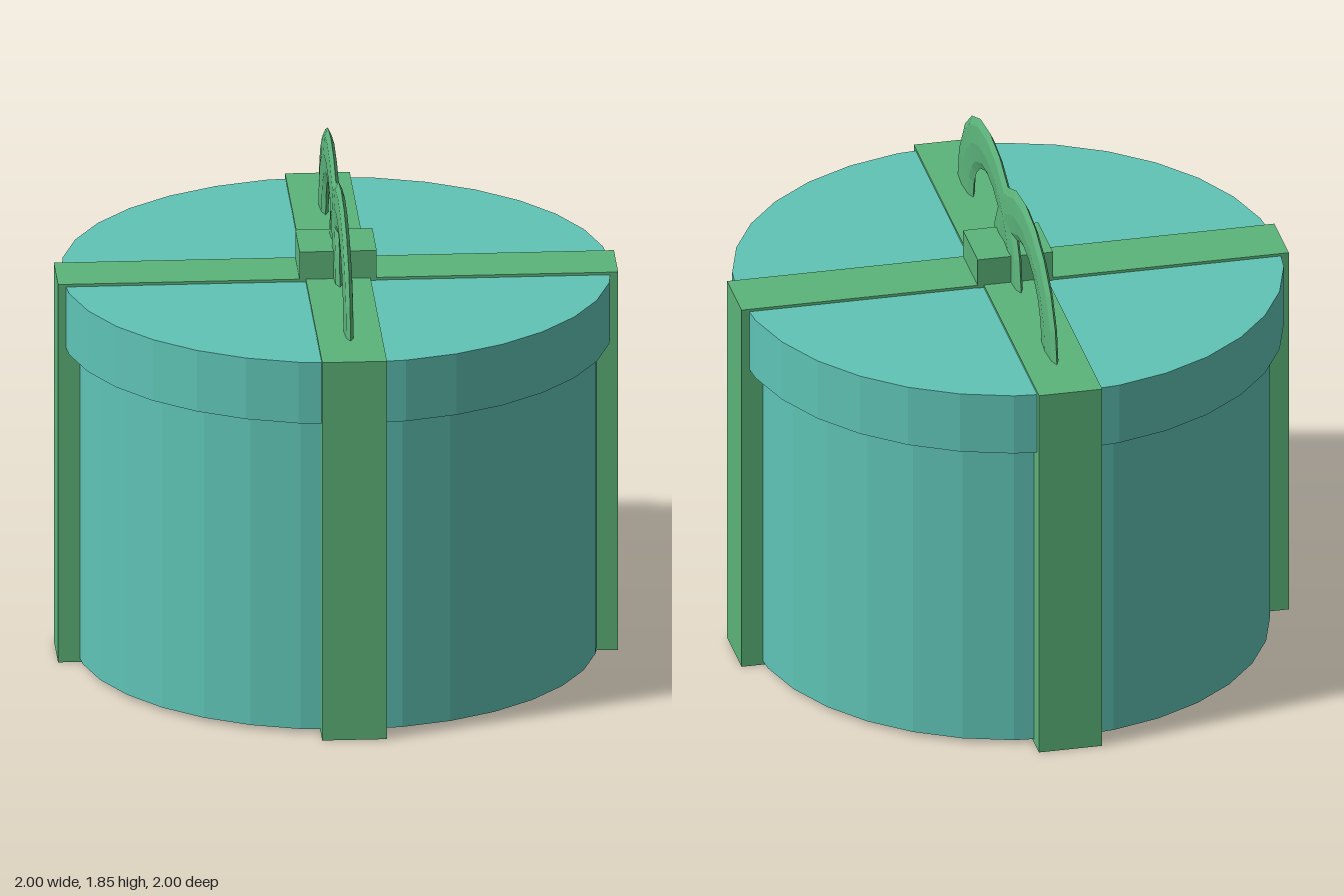
import * as THREE from 'three';

export function createModel() {
  const model = new THREE.Group();
  model.name = 'giftBox';

  const material = (name, color) => {
    const m = new THREE.MeshStandardMaterial({ color, flatShading: true });
    m.name = name;
    return m;
  };
  const teal = material('teal card', 0x5fc4b6);
  const green = material('green ribbon', 0x5cb47b);

  const add = (parent, name, geometry, mat, x, y, z) => {
    const mesh = new THREE.Mesh(geometry, mat);
    mesh.name = name;
    mesh.position.set(x, y, z);
    parent.add(mesh);
    return mesh;
  };

  // Round box and its slightly wider lid
  add(model, 'boxBody', new THREE.CylinderGeometry(0.95, 0.95, 1.2, 32), teal, 0, 0.615, 0);
  add(model, 'lid', new THREE.CylinderGeometry(1, 1, 0.235, 32), teal, 0, 1.3275, 0);

  // Ribbon and bow share a frame turned about the vertical axis
  const wrapping = new THREE.Group();
  wrapping.name = 'wrapping';
  wrapping.rotation.y = 0.988;
  model.add(wrapping);

  // Two crossing bands that wrap over the lid, sides and base
  add(wrapping, 'ribbonLong', new THREE.BoxGeometry(2.035, 1.455, 0.235), green, 0, 0.7275, 0);
  add(wrapping, 'ribbonCross', new THREE.BoxGeometry(0.235, 1.455, 2.035), green, 0, 0.7275, 0);

  // Knot
  add(wrapping, 'knot', new THREE.BoxGeometry(0.24, 0.12, 0.28), green, 0, 1.5, 0);

  // Overlapping, flattened bow loops
  const loop = new THREE.TorusGeometry(0.39, 0.115, 8, 10, Math.PI);
  loop.scale(1, 0.795, 0.16);
  for (const side of [-1, 1]) {
    add(wrapping, side < 0 ? 'bowLoopFront' : 'bowLoopBack', loop, green, side * 0.29, 1.452, 0);
  }

  return model;
}
